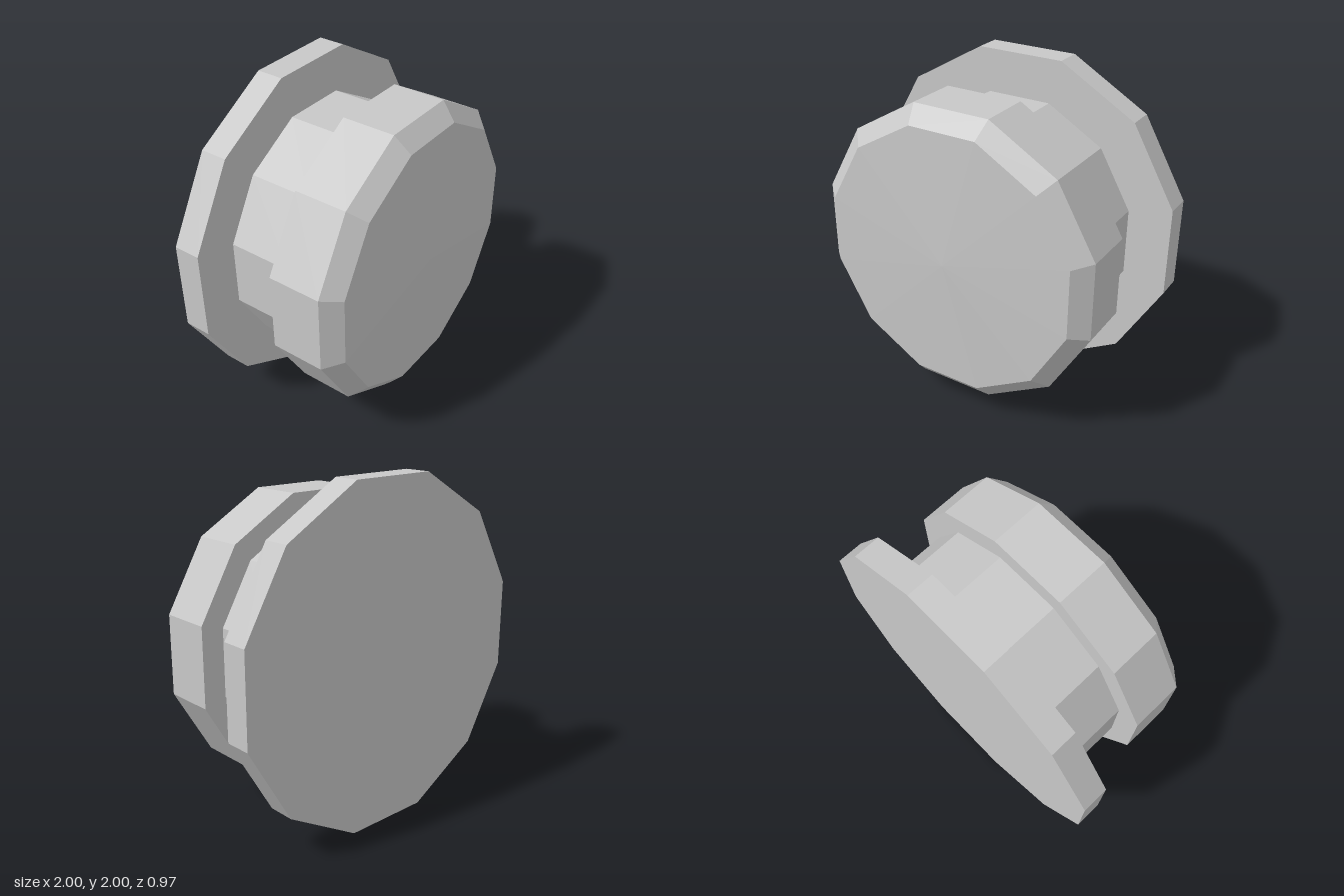
import * as THREE from 'three';

const SIDES = 12;
const TO_CORNER = 1 / Math.cos(Math.PI / SIDES); // flat-to-centre distance -> corner radius

// Twelve-sided section along z with flat sides up, from z0 (back) to z1 (front)
function section(name, backR, frontR, z0, z1, open, material) {
  const indexed = new THREE.CylinderGeometry(
    frontR * TO_CORNER, backR * TO_CORNER, z1 - z0, SIDES, 1, open, Math.PI / SIDES, Math.PI * 2);
  const geometry = indexed.toNonIndexed();
  geometry.rotateX(Math.PI / 2);
  geometry.translate(0, 1, (z0 + z1) / 2);
  geometry.computeVertexNormals(); // faceted
  const mesh = new THREE.Mesh(geometry, material);
  mesh.name = name;
  return mesh;
}

export function createModel() {
  const grey = new THREE.MeshStandardMaterial({ color: 0xc8c8c8 });
  grey.name = 'light grey';

  const group = new THREE.Group();
  group.name = 'roundKnob';
  group.add(
    section('backFlange', 1, 1, -0.485, -0.325, false, grey),
    section('neck', 0.74, 0.74, -0.325, 0.055, true, grey),
    section('head', 0.875, 0.875, 0.055, 0.37, false, grey),
    section('headBevel', 0.875, 0.778, 0.37, 0.46, true, grey),
    section('domedFace', 0.778, 0, 0.46, 0.485, true, grey),
  );
  return group;
}
